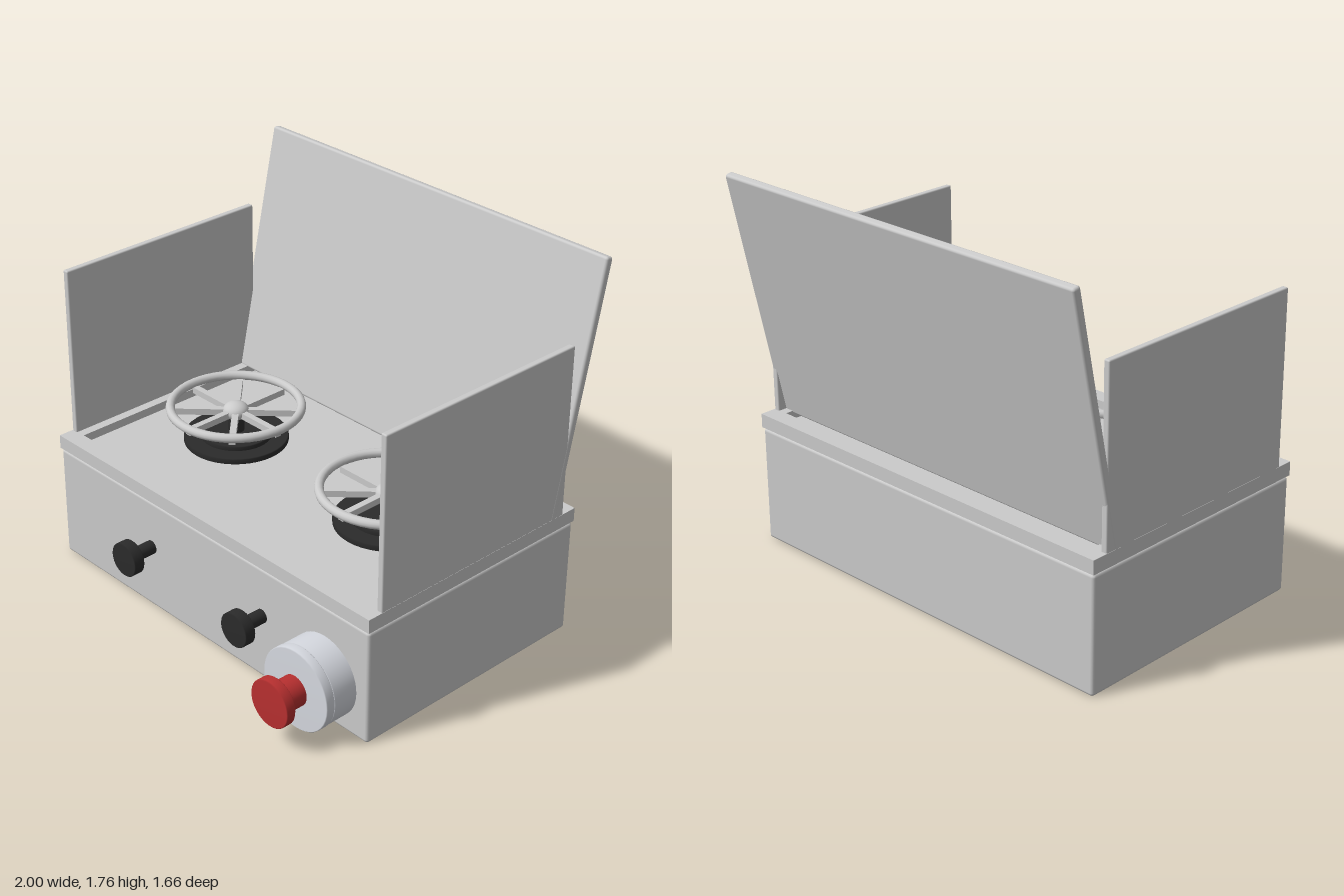
import * as THREE from 'three';
import { RoundedBoxGeometry } from 'three/addons/geometries/RoundedBoxGeometry.js';

const grey = new THREE.MeshStandardMaterial({ color: 0xcccccc });
const silver = new THREE.MeshStandardMaterial({ color: 0xd6d9e0 });
const black = new THREE.MeshStandardMaterial({ color: 0x2b2b2b });
const red = new THREE.MeshStandardMaterial({ color: 0xb83030 });

function add(parent, name, geometry, material, x = 0, y = 0, z = 0) {
  const mesh = new THREE.Mesh(geometry, material);
  mesh.name = name;
  mesh.position.set(x, y, z);
  parent.add(mesh);
  return mesh;
}

// Box given by its lower and upper limits
function box(parent, name, [x0, x1], [y0, y1], [z0, z1], radius = 0) {
  const size = [x1 - x0, y1 - y0, z1 - z0];
  const geometry = radius ? new RoundedBoxGeometry(...size, 2, radius) : new THREE.BoxGeometry(...size);
  return add(parent, name, geometry, grey, (x0 + x1) / 2, (y0 + y1) / 2, (z0 + z1) / 2);
}

// Turned part along y from [radius, height] pairs, listed bottom to top
function turned(points) {
  return new THREE.LatheGeometry(points.map(([r, h]) => new THREE.Vector2(r, h)), 40);
}

// Disc with slightly eased edges
const disc = (r, h0, h1, e = 0.004) =>
  turned([[0, h0], [r - e, h0], [r, h0 + e], [r, h1 - e], [r - e, h1], [0, h1]]);

// Turned part that points out of the front panel
function frontDisc(parent, name, material, x, y, r, z0, z1) {
  const mesh = add(parent, name, disc(r, z0, z1), material, x, y, 0);
  mesh.rotation.x = Math.PI / 2;
}

function burner() {
  const g = new THREE.Group();
  g.name = 'burner';
  add(g, 'burnerBase', disc(0.24, 0.57, 0.6), black);
  add(g, 'burnerCap', disc(0.165, 0.59, 0.621), black);
  add(g, 'burnerStem', new THREE.CylinderGeometry(0.037, 0.037, 0.1, 24), black, 0, 0.655);

  // Pot support: ring, four crossing bars and a flattened hub
  const ring = add(g, 'supportRing', new THREE.TorusGeometry(0.298, 0.021, 12, 48), grey, 0, 0.742);
  ring.rotation.x = Math.PI / 2;
  for (let i = 0; i < 4; i++) {
    const bar = add(g, 'supportBar', new THREE.BoxGeometry(0.57, 0.03, 0.03), grey, 0, 0.715);
    bar.rotation.y = i * Math.PI / 4;
  }
  const hub = add(g, 'supportHub', new THREE.SphereGeometry(0.06, 24, 16), grey, 0, 0.72);
  hub.scale.y = 0.7;
  return g;
}

export function createModel() {
  const model = new THREE.Group();
  model.name = 'campStove';

  box(model, 'body', [-0.998, 0.998], [0, 0.545], [-0.7, 0.525], 0.015);

  // Tray: floor with a raised rim around it
  box(model, 'trayFloor', [-0.95, 0.95], [0.54, 0.575], [-0.66, 0.49]);
  const rim = new THREE.Shape([[-1, -0.53], [1, -0.53], [1, 0.705], [-1, 0.705]].map(p => new THREE.Vector2(...p)));
  rim.holes.push(new THREE.Path([[-0.925, -0.45], [-0.925, 0.625], [0.925, 0.625], [0.925, -0.45]]
    .map(p => new THREE.Vector2(...p))));
  const rimMesh = add(model, 'trayRim', new THREE.ExtrudeGeometry(rim, { depth: 0.065, bevelEnabled: false }), grey, 0, 0.55);
  rimMesh.rotation.x = -Math.PI / 2;

  // Lid leaning back
  const lid = add(model, 'lid', new RoundedBoxGeometry(2, 1.18, 0.04, 2, 0.012), grey, 0, 1.181, -0.688);
  lid.rotation.x = -0.211;

  for (const s of [-1, 1]) {
    // Side wind guards
    const guard = box(model, 'windGuard', [-0.015, 0.015], [0.6, 1.42], [-0.63, 0.457], 0.007);
    guard.position.x = s * 0.984;

    const b = burner();
    b.position.set(s * 0.49, 0, -0.09);
    model.add(b);

    // Control knobs
    frontDisc(model, 'knobStem', black, s * 0.363, 0.312, 0.032, 0.5, 0.64);
    frontDisc(model, 'knob', black, s * 0.363, 0.312, 0.08, 0.63, 0.685);
  }

  // Gas regulator with red valve handle
  frontDisc(model, 'regulatorBody', silver, 0.745, 0.22, 0.187, 0.5, 0.645);
  frontDisc(model, 'regulatorFlange', silver, 0.745, 0.22, 0.189, 0.645, 0.69);
  frontDisc(model, 'valveStem', red, 0.745, 0.22, 0.07, 0.66, 0.79);
  frontDisc(model, 'valveHandle', red, 0.745, 0.22, 0.109, 0.785, 0.832);

  return model;
}
